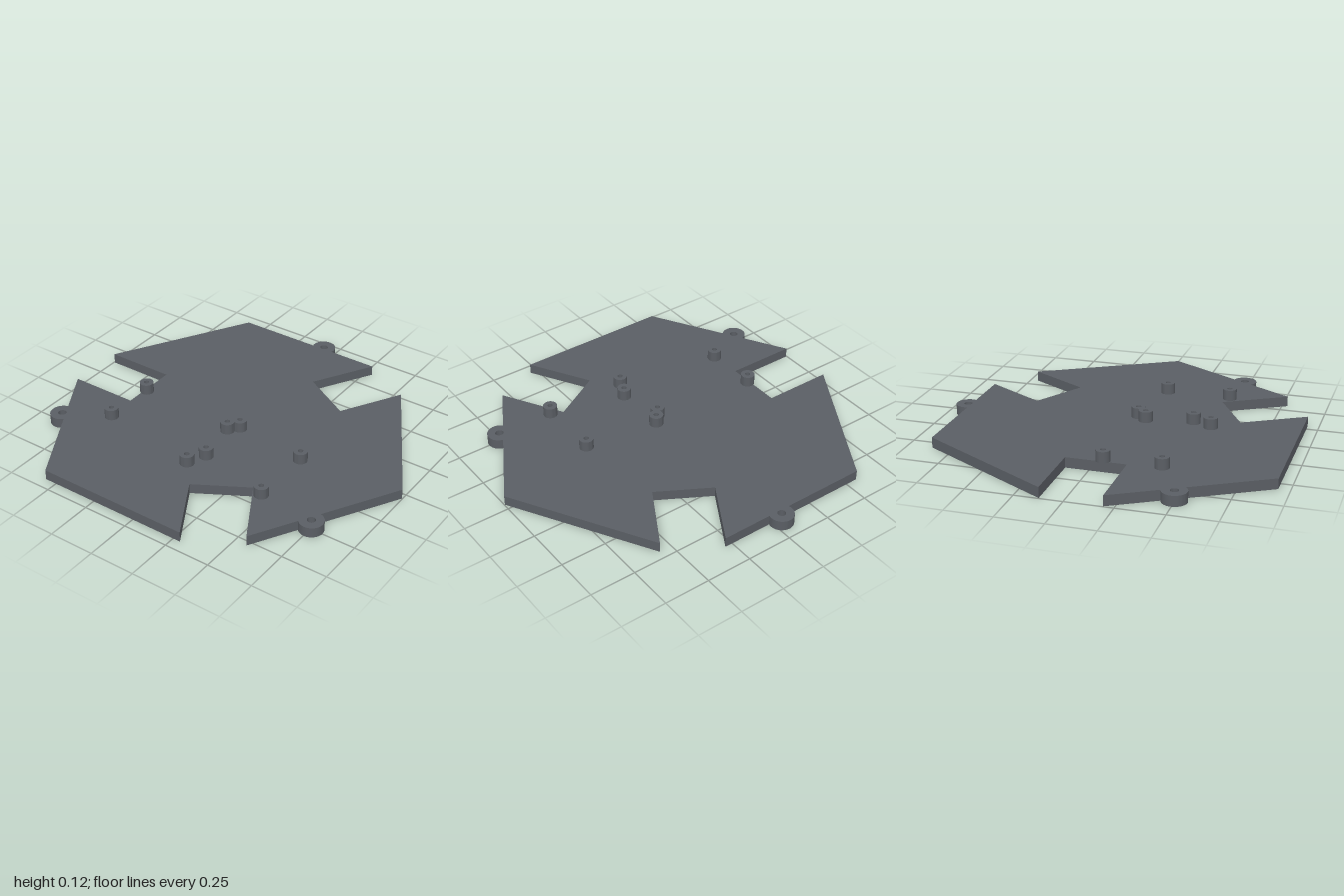
import * as THREE from 'three';
import { toCreasedNormals } from 'three/addons/utils/BufferGeometryUtils.js';

const CX = -0.045, CZ = 0.037;      // centre of the threefold plate
const APOTHEM = 0.9025, EAR_DIST = 0.922, EAR_R = 0.065;
const PLATE_H = 0.056, BORE_H = 0.028;

const material = new THREE.MeshStandardMaterial({ color: 0x5a5e64 });

// Hexagon with three slotted corners and three round ears
function plateShape(holeRadius) {
  const a = Math.asin((EAR_DIST - APOTHEM) / EAR_R);
  const sector = [new THREE.Vector2(0.337, APOTHEM)];
  for (let i = 0; i <= 28; i++) {
    const t = -a + (Math.PI + 2 * a) * i / 28;
    sector.push(new THREE.Vector2(EAR_R * Math.cos(t), EAR_DIST + EAR_R * Math.sin(t)));
  }
  for (const [x, y] of [[-0.521, APOTHEM], [-0.95, 0.16], [-0.57, 0.16], [-0.57, -0.16]]) {
    sector.push(new THREE.Vector2(x, y));
  }
  const origin = new THREE.Vector2();
  const outline = [], holes = [];
  for (let k = 0; k < 3; k++) {
    const turn = k * Math.PI * 2 / 3;
    for (const p of sector) outline.push(p.clone().rotateAround(origin, turn));
    const c = new THREE.Vector2(0, EAR_DIST).rotateAround(origin, turn);
    holes.push(new THREE.Path().absarc(c.x, c.y, holeRadius, 0, Math.PI * 2, true));
  }
  const shape = new THREE.Shape(outline);
  shape.holes = holes;
  return shape;
}

function plateLayer(name, holeRadius, y, height) {
  const geo = new THREE.ExtrudeGeometry(plateShape(holeRadius),
    { depth: height, bevelEnabled: false, curveSegments: 16 });
  geo.rotateX(-Math.PI / 2);
  const mesh = new THREE.Mesh(toCreasedNormals(geo, 0.5), material);
  mesh.name = name;
  mesh.position.set(CX, y, CZ);
  return mesh;
}

export function createModel() {
  const group = new THREE.Group();
  group.name = 'mountingPlate';

  // Plate: wide counterbores below, narrow screw holes above
  group.add(plateLayer('plateBottom', 0.042, 0, BORE_H));
  group.add(plateLayer('plateTop', 0.022, BORE_H, PLATE_H - BORE_H));

  // Standoffs with blind screw holes, two rectangular sets of four
  const profile = [[0, 0], [0.038, 0], [0.038, 0.059], [0.014, 0.059], [0.014, 0.003], [0, 0.003]]
    .map(([x, y]) => new THREE.Vector2(x, y));
  const standoffGeo = toCreasedNormals(new THREE.LatheGeometry(profile, 32), 0.5);
  const sets = [
    { name: 'leftBoardStandoff', xs: [-0.6, 0.03], zs: [0.07, 0.372] },
    { name: 'rightBoardStandoff', xs: [-0.015, 0.445], zs: [0.122, 0.476] },
  ];
  for (const { name, xs, zs } of sets) {
    for (const x of xs) for (const z of zs) {
      const standoff = new THREE.Mesh(standoffGeo, material);
      standoff.name = name;
      standoff.position.set(x, PLATE_H, z);
      group.add(standoff);
    }
  }
  return group;
}
